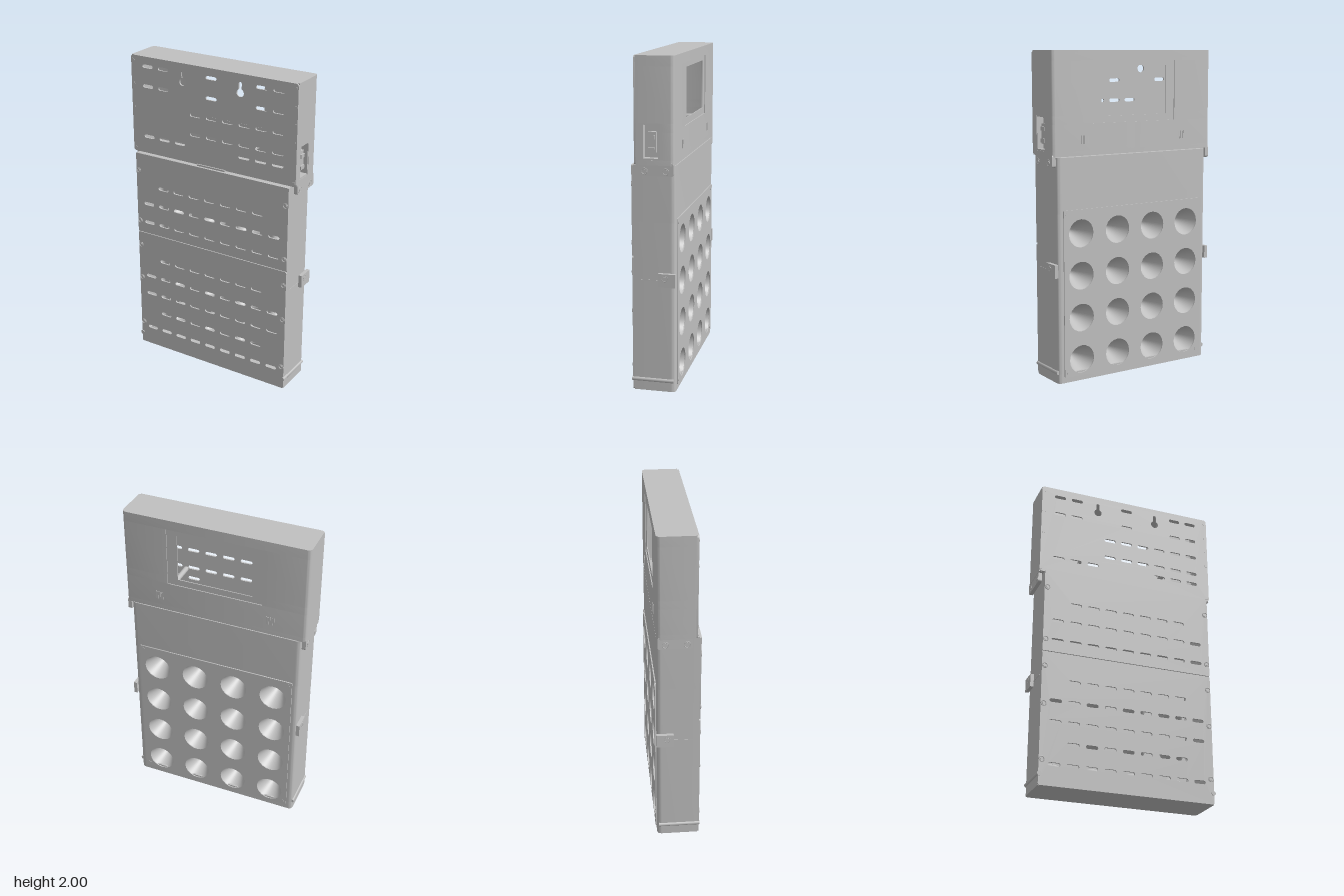
import * as THREE from 'three';
import { toCreasedNormals } from 'three/addons/utils/BufferGeometryUtils.js';

const PITCH = 0.1145;
const BACK = -0.13;

export function createModel() {
  const model = new THREE.Group();
  const grey = new THREE.MeshStandardMaterial({ color: 0xc0c0c0, side: THREE.DoubleSide });
  grey.name = 'light grey';

  const add = (name, geo, x = 0, y = 0, z = 0) => {
    const mesh = new THREE.Mesh(geo, grey);
    mesh.name = name;
    mesh.position.set(x, y, z);
    model.add(mesh);
    return mesh;
  };
  // box given by its limits
  const box = (name, x0, x1, y0, y1, z0, z1) =>
    add(name, new THREE.BoxGeometry(x1 - x0, y1 - y0, z1 - z0), (x0 + x1) / 2, (y0 + y1) / 2, (z0 + z1) / 2);
  // cylinder along z
  const rod = (name, r, x, y, z0, z1) =>
    add(name, new THREE.CylinderGeometry(r, r, z1 - z0, 20).rotateX(Math.PI / 2), x, y, (z0 + z1) / 2);

  const roundRect = (x0, x1, y0, y1, r) => {
    const s = new THREE.Shape();
    s.moveTo(x0 + r, y0).lineTo(x1 - r, y0).quadraticCurveTo(x1, y0, x1, y0 + r);
    s.lineTo(x1, y1 - r).quadraticCurveTo(x1, y1, x1 - r, y1);
    s.lineTo(x0 + r, y1).quadraticCurveTo(x0, y1, x0, y1 - r);
    s.lineTo(x0, y0 + r).quadraticCurveTo(x0, y0, x0 + r, y0);
    return s;
  };
  const slot = (x, y) => {
    const p = new THREE.Path(), a = 0.027, r = 0.011;
    p.absarc(x + a, y, r, -Math.PI / 2, Math.PI / 2, false);
    p.absarc(x - a, y, r, Math.PI / 2, Math.PI * 1.5, false);
    return p.closePath();
  };
  const keyhole = (x) => {
    const p = new THREE.Path();
    p.absarc(x, 1.885, 0.025, Math.PI * 0.63, Math.PI * 2.37, false);
    p.absarc(x, 1.94, 0.011, 0, Math.PI, false);
    return p.closePath();
  };
  const circle = (x, y, r) => new THREE.Path().absarc(x, y, r, 0, Math.PI * 2, false);
  // flat plate between two depths, with holes
  const plate = (name, shape, holes, z0, z1) => {
    shape.holes.push(...holes);
    const geo = new THREE.ExtrudeGeometry(shape, { depth: z1 - z0, bevelEnabled: false, curveSegments: 10 });
    return add(name, toCreasedNormals(geo, 0.6), 0, 0, z0);
  };
  // outline in the x/z plane, extruded upward
  const upright = (name, shape, y0, y1) => {
    const geo = new THREE.ExtrudeGeometry(shape, { depth: y1 - y0, bevelEnabled: false, curveSegments: 8 });
    return add(name, toCreasedNormals(geo.rotateX(-Math.PI / 2), 0.6), 0, y0, 0);
  };
  // one side of a casing: side wall, rounded rear corner and back wall as far as innerX
  const halfShell = (name, side, w, innerX, zFront, y0, y1) => {
    const t = 0.012, r = 0.03, b = -BACK, s = new THREE.Shape();
    s.moveTo(side * innerX, b).lineTo(side * (w - r), b);
    s.quadraticCurveTo(side * w, b, side * w, b - r);
    s.lineTo(side * w, -zFront).lineTo(side * (w - t), -zFront).lineTo(side * (w - t), b - r);
    s.quadraticCurveTo(side * (w - t), b - t, side * (w - r), b - t);
    s.lineTo(side * innerX, b - t);
    upright(name, s, y0, y1);
  };
  // horizontal end wall of a casing
  const cap = (name, w, zFront, y0, y1) => {
    const r = 0.03, b = -BACK, s = new THREE.Shape();
    s.moveTo(-w, -zFront).lineTo(w, -zFront).lineTo(w, b - r).quadraticCurveTo(w, b, w - r, b);
    s.lineTo(-w + r, b).quadraticCurveTo(-w, b, -w, b - r);
    upright(name, s, y0, y1);
  };

  // upper casing: [bottom, top, back opening half width, side opening on the left]
  const bands = [
    [1.38, 1.41, 0, false], [1.41, 1.57, 0, true], [1.57, 1.62, 0.3, true],
    [1.62, 1.94, 0.3, false], [1.94, 2.0, 0, false],
  ];
  for (const [y0, y1, inner, open] of bands) {
    halfShell('upperCasing', 1, 0.58, inner, open ? -0.045 : 0.095, y0, y1);
    halfShell('upperCasing', -1, 0.58, inner, 0.095, y0, y1);
  }
  cap('upperTop', 0.58, 0.095, 1.988, 2);
  cap('upperBottom', 0.58, 0.095, 1.38, 1.392);

  // recessed back panel with its window
  plate('windowPanel', roundRect(-0.3, 0.3, 1.57, 1.94, 0.002),
    [roundRect(-0.24, 0.235, 1.61, 1.91, 0.004)], -0.124, -0.118);

  // upper front plate with slots and hanging holes
  const upperRows = [
    [1.94, [-4, -3, 0, 3, 4]], [1.815, [-4, -3, 0, 3, 4]], [1.69, [-1, 0, 1, 2, 3, 4]],
    [1.565, [-1, 0, 1, 2, 3, 4]], [1.49, [-4, -3, -2, 2, 3, 4]],
  ];
  const upperHoles = upperRows.flatMap(([y, cols]) => cols.map((c) => slot(c * PITCH, y)));
  upperHoles.push(keyhole(-0.2), keyhole(0.2));
  plate('upperFront', roundRect(-0.58, 0.58, 1.38, 2, 0.02), upperHoles, 0.095, 0.105);
  box('frontTab', -0.1, 0.1, 1.372, 1.385, 0.1, 0.114);
  for (const y of [1.97, 1.86, 1.755, 1.645, 1.4]) rod('upperScrew', 0.01, 0.565, y, 0.1, 0.107);
  for (const y of [1.97, 1.82, 1.665, 1.4]) rod('upperScrew', 0.01, -0.565, y, 0.1, 0.107);
  for (const x of [-0.28, 0.28]) for (const y of [1.55, 1.95]) rod('standoff', 0.016, x, y, -0.05, 0.097);

  // switch opening in the left side
  box('switchFrontBar', 0.568, 0.58, 1.41, 1.62, 0.06, 0.097);
  box('switchBack', 0.53, 0.536, 1.41, 1.62, -0.045, 0.06);
  for (const z of [-0.045, 0.051]) box('switchWall', 0.534, 0.578, 1.41, 1.62, z, z + 0.009);
  for (const y of [1.41, 1.611]) box('switchWall', 0.534, 0.578, y, y + 0.009, -0.045, 0.06);
  box('switchBody', 0.535, 0.56, 1.45, 1.57, -0.02, 0.03);
  for (const y of [1.47, 1.54]) box('switchRocker', 0.56, 0.57, y - 0.012, y + 0.012, -0.015, 0.025);

  // small vent grilles on the back
  for (const x of [-0.355, 0.355]) {
    for (let i = -2; i <= 2; i++) box('ventBar', x + i * 0.011 - 0.003, x + i * 0.011 + 0.003, 1.45, 1.5, -0.133, -0.129);
  }

  // lower casing, open behind the socket plate
  for (const side of [1, -1]) {
    for (const [y0, y1, inner] of [[0, 0.06, 0], [0.06, 1.04, 0.49], [1.04, 1.375, 0]]) {
      halfShell('lowerCasing', side, 0.55, inner, 0.12, y0, y1);
    }
  }
  cap('lowerTop', 0.55, 0.12, 1.363, 1.375);
  cap('lowerBottom', 0.55, 0.12, 0, 0.012);

  // two lower front panels meeting at a narrow seam
  const lowerRows = [[1.165, 3], [1.04, 4], [0.91, 4], [0.65, 3], [0.52, 4], [0.39, 4], [0.26, 3], [0.13, 4]];
  for (const [y0, y1] of [[0, 0.828], [0.832, 1.375]]) {
    const holes = [];
    for (const [y, n] of lowerRows) {
      if (y < y0 || y > y1) continue;
      for (let c = -n; c <= n; c++) holes.push(slot(c * PITCH, y));
    }
    plate('lowerFront', roundRect(-0.55, 0.55, y0, y1, y0 ? 0.006 : 0.012), holes, 0.12, 0.13);
  }

  // raised back plate with sixteen conical sockets
  const columns = [-0.39, -0.13, 0.13, 0.39], rows = [0.135, 0.395, 0.655, 0.915];
  const socketHoles = columns.flatMap((x) => rows.map((y) => circle(x, y, 0.086)));
  plate('socketPlate', roundRect(-0.51, 0.51, 0.035, 1.06, 0.006), socketHoles, -0.137, -0.13);
  const cone = new THREE.ConeGeometry(0.087, 0.2, 40, 1, true).rotateX(Math.PI / 2);
  for (const x of columns) for (const y of rows) add('socketCone', cone, x, y, -0.034);
  for (const x of [-0.485, 0.485]) for (const y of [0.06, 1.035]) rod('plateScrew', 0.012, x, y, -0.139, -0.13);

  // matching fittings on both sides
  for (const s of [1, -1]) {
    const sideBox = (name, a, b, ...rest) => box(name, Math.min(s * a, s * b), Math.max(s * a, s * b), ...rest);
    const sideScrew = (x, y, z) => {
      add('sideScrew', new THREE.CylinderGeometry(0.012, 0.012, 0.008, 20).rotateZ(Math.PI / 2), s * x, y, z);
      add('sideScrewRim', new THREE.TorusGeometry(0.018, 0.003, 6, 24).rotateY(Math.PI / 2), s * x, y, z);
    };
    // joining ear under the upper casing
    const ear = new THREE.ExtrudeGeometry(roundRect(-0.075, 0.125, 1.318, 1.395, 0.015), { depth: 0.024, bevelEnabled: false });
    add('joiningEar', ear.rotateY(Math.PI / 2), s > 0 ? 0.554 : -0.578, 0, 0);
    for (const z of [0.045, -0.08]) sideScrew(0.577, 1.345, z);
    // latch, seam line and lower edge bead
    sideBox('latch', 0.55, 0.572, 0.657, 0.738, -0.134, -0.03);
    sideScrew(0.57, 0.71, -0.07);
    sideBox('sideSeam', 0.549, 0.552, 0.688, 0.693, -0.03, 0.085);
    rod('edgeBead', 0.013, s * 0.545, 0.068, -0.12, 0.135);
    for (const y of [1.26, 0.91, 0.735, 0.495, 0.155]) {
      rod('frontScrew', 0.009, s * 0.532, y, 0.128, 0.134);
      add('frontScrewRim', new THREE.TorusGeometry(0.015, 0.003, 6, 24), s * 0.532, y, 0.131);
    }
  }
  return model;
}
